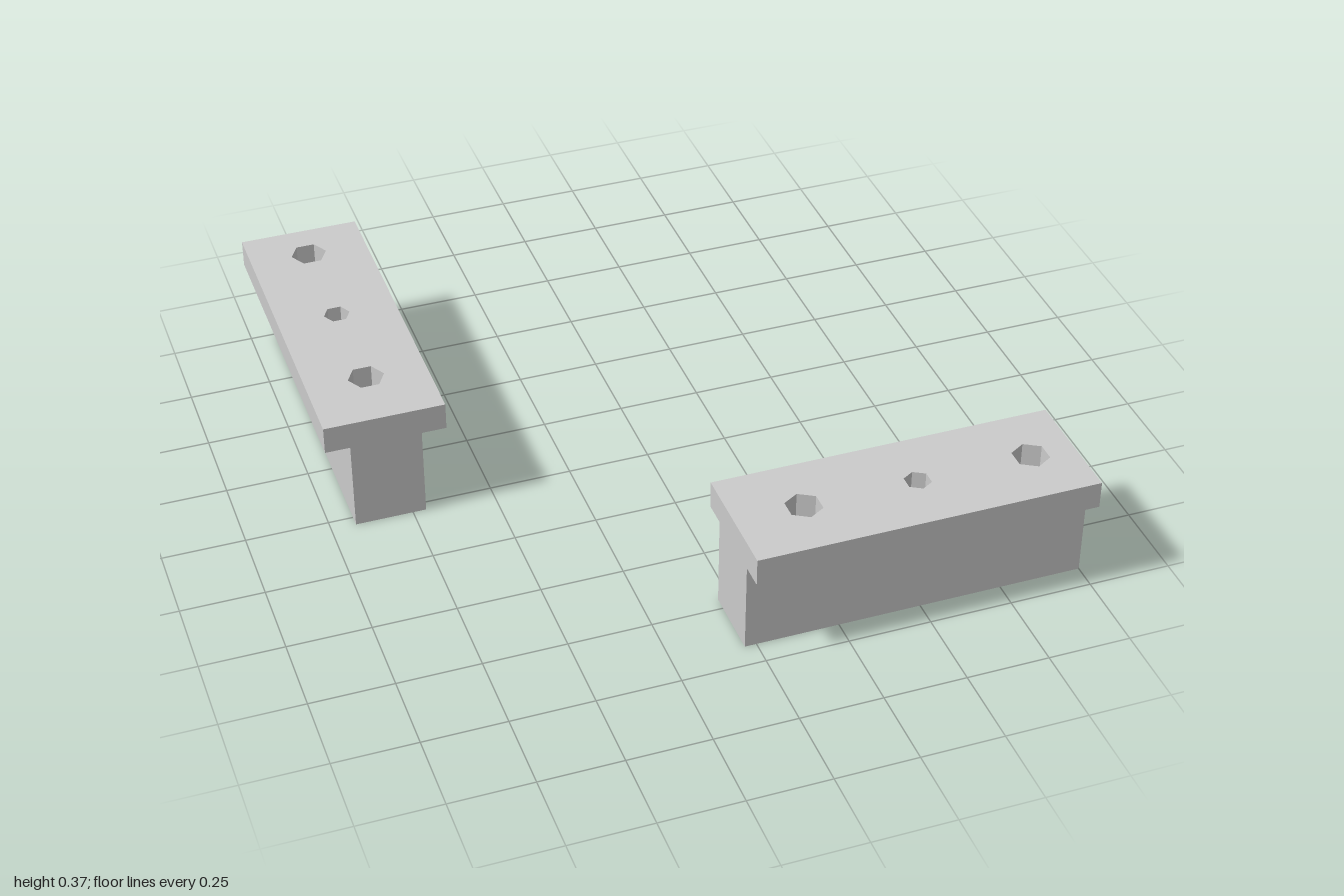
import * as THREE from 'three';

const LENGTH = 1.035, HEIGHT = 0.37, STEP = 0.285;
const FLANGE = 0.3650, STEM = 0.215;
// Hole positions along the bar and radii
const HOLES = [[-0.384, 0.055], [-0.035, 0.04], [0.309, 0.055]];
const SIDES = 6;

const material = new THREE.MeshStandardMaterial({ color: 0xcccccc, flatShading: true });
const inside = new THREE.MeshStandardMaterial({ color: 0xcccccc, flatShading: true, side: THREE.BackSide });

function add(group, name, geometry, mat = material) {
  const mesh = new THREE.Mesh(geometry, mat);
  mesh.name = name;
  group.add(mesh);
  return mesh;
}

// T-shaped section, counter-clockwise from the lower left
function sectionPoints() {
  const s = STEM / 2, f = FLANGE / 2;
  return [[-s, 0], [s, 0], [s, STEP], [f, STEP], [f, HEIGHT], [-f, HEIGHT], [-f, STEP], [-s, STEP]]
    .map(([x, y]) => new THREE.Vector2(x, y));
}

// Flat rectangle pierced by the holes, facing up (dir 1) or down (dir -1)
function piercedFace(width, dir) {
  const w = width / 2, l = LENGTH / 2;
  const shape = new THREE.Shape([[-w, -l], [w, -l], [w, l], [-w, l]].map(p => new THREE.Vector2(...p)));
  for (const [z, r] of HOLES) {
    const points = [];
    for (let i = 0; i < SIDES; i++) {
      const a = (i / SIDES) * Math.PI * 2;
      points.push(new THREE.Vector2(r * Math.cos(a), -dir * z + r * Math.sin(a)));
    }
    shape.holes.push(new THREE.Path(points));
  }
  return new THREE.ShapeGeometry(shape).rotateX(-dir * Math.PI / 2);
}

// Long side walls and flange undersides; top and bottom are pierced faces
function sideWalls() {
  const pts = sectionPoints(), positions = [], l = LENGTH / 2;
  pts.forEach((a, i) => {
    const b = pts[(i + 1) % pts.length];
    if (i === 0 || i === 4) return;
    positions.push(a.x, a.y, l, b.x, b.y, -l, b.x, b.y, l);
    positions.push(a.x, a.y, l, a.x, a.y, -l, b.x, b.y, -l);
  });
  const geometry = new THREE.BufferGeometry();
  geometry.setAttribute('position', new THREE.Float32BufferAttribute(positions, 3));
  geometry.computeVertexNormals();
  return geometry;
}

function createBar(name) {
  const bar = new THREE.Group();
  bar.name = name;
  add(bar, 'sideWalls', sideWalls());
  add(bar, 'topFace', piercedFace(FLANGE, 1)).position.y = HEIGHT;
  add(bar, 'bottomFace', piercedFace(STEM, -1));

  // T-shaped ends
  const end = new THREE.ShapeGeometry(new THREE.Shape(sectionPoints()));
  add(bar, 'frontEnd', end).position.z = LENGTH / 2;
  const back = add(bar, 'backEnd', end);
  back.position.z = -LENGTH / 2;
  back.rotation.y = Math.PI;

  // Inner walls of the through holes
  for (const [z, r] of HOLES) {
    const bore = new THREE.CylinderGeometry(r, r, HEIGHT, SIDES, 1, true, Math.PI / 2);
    add(bar, 'boltHole', bore, inside).position.set(0, HEIGHT / 2, z);
  }
  return bar;
}

export function createModel() {
  const model = new THREE.Group();
  model.name = 'slotBars';

  const edge = 1 - FLANGE / 2, middle = 1 - LENGTH / 2;
  const rightBar = createBar('rightBar');
  rightBar.position.set(-edge, 0, -middle);

  // Second bar turned a quarter turn to lie across the front
  const frontBar = createBar('frontBar');
  frontBar.position.set(middle, 0, edge);
  frontBar.rotation.y = -Math.PI / 2;

  model.add(rightBar, frontBar);
  return model;
}
